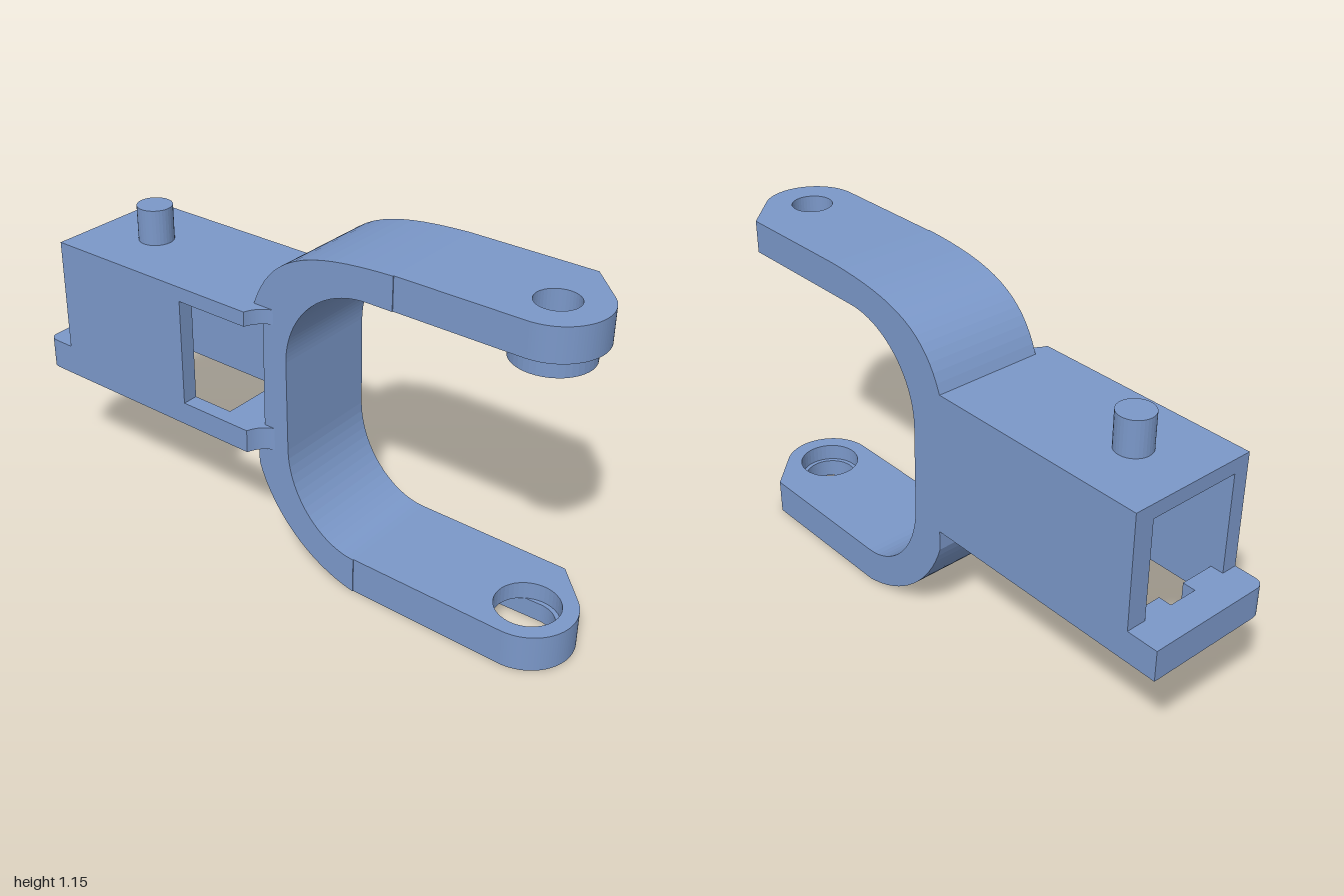
import * as THREE from 'three';

export function createModel() {
  const model = new THREE.Group();
  const material = new THREE.MeshStandardMaterial({ color: 0x7b98c9, flatShading: true });

  const add = (name, geometry) => {
    const mesh = new THREE.Mesh(geometry, material);
    mesh.name = name;
    model.add(mesh);
  };
  const block = (name, x0, x1, y0, y1, z0, z1) => add(name,
    new THREE.BoxGeometry(x1 - x0, y1 - y0, z1 - z0)
      .translate((x0 + x1) / 2, (y0 + y1) / 2, (z0 + z1) / 2));
  // Extrude a plan drawn in (x, z) between two heights
  const plate = (name, shape, y0, y1) => add(name,
    new THREE.ExtrudeGeometry(shape, { depth: y1 - y0, bevelEnabled: false, curveSegments: 20 })
      .rotateX(Math.PI / 2).translate(0, y1, 0));
  const circle = (x, z, r) => new THREE.Path().absarc(x, z, r, 0, Math.PI * 2, false);

  const back = -0.225, front = 0.225, yokeFront = 0.16;
  const pinX = 0.845, armStart = 0.3, topStart = 0.42;

  // Curved web of the yoke, drawn from the front
  const web = new THREE.Shape();
  web.moveTo(armStart, 0);
  web.bezierCurveTo(0.12, 0.03, -0.03, 0.17, -0.085, 0.34);
  web.lineTo(-0.085, 0.41);
  web.lineTo(-0.06, 0.42);
  web.lineTo(-0.06, 0.9);
  web.lineTo(-0.095, 0.91);
  web.bezierCurveTo(-0.03, 1.09, 0.1, 1.145, topStart, 1.155);
  web.lineTo(topStart, 1.045);
  web.lineTo(0.33, 1.045);
  web.absarc(0.33, 0.745, 0.3, Math.PI / 2, Math.PI, false);
  web.lineTo(0.035, 0.43);
  web.bezierCurveTo(0.04, 0.26, 0.17, 0.125, armStart, 0.125);
  web.closePath();
  add('yokeWeb', new THREE.ExtrudeGeometry(web,
    { depth: yokeFront - back, bevelEnabled: false, curveSegments: 16 }).translate(0, 0, back));

  // Arms with a rounded, chamfered tip
  const armPlan = (start, hole) => {
    const s = new THREE.Shape();
    s.moveTo(start, back);
    s.lineTo(pinX, back);
    s.lineTo(0.955, -0.112);
    s.absarc(pinX, 0, 0.157, -0.79, Math.PI / 2, false);
    s.lineTo(start, 0.157);
    s.closePath();
    s.holes.push(hole);
    return s;
  };
  plate('upperArm', armPlan(topStart, circle(pinX, 0, 0.068)), 1.045, 1.155);
  plate('lowerArm', armPlan(armStart, circle(pinX, 0, 0.105)), 0.065, 0.125);

  // Slot recessed into the underside of the lower arm
  const slot = new THREE.Path();
  slot.absarc(pinX, 0, 0.09, -Math.PI / 2, Math.PI / 2, false);
  slot.absarc(0.385, 0, 0.07, Math.PI / 2, Math.PI * 1.5, false);
  slot.closePath();
  plate('lowerArmSlot', armPlan(armStart, slot), 0, 0.065);

  // Collar under the upper arm
  const collar = new THREE.Shape().absarc(pinX, 0, 0.125, 0, Math.PI * 2, false);
  collar.holes.push(circle(pinX, 0, 0.068));
  plate('collar', collar, 0.985, 1.045);

  // Hollow housing, open at the bottom and the outer end
  block('housingTop', -0.89, -0.05, 0.86, 0.91, back, 0.17);
  block('housingBack', -0.89, -0.05, 0.41, 0.86, back, -0.155);
  block('housingFront', -0.89, -0.35, 0.41, 0.91, 0.17, front);
  block('housingFloor', -0.2, -0.05, 0.41, 0.49, -0.155, 0.17);

  // Strips above and below the front window, with a concave inner end
  const strip = new THREE.Shape();
  strip.moveTo(-0.35, 0.17);
  strip.lineTo(-0.1, 0.17);
  strip.lineTo(-0.1, 0.155);
  strip.lineTo(0, 0.155);
  strip.quadraticCurveTo(-0.06, 0.165, -0.08, front);
  strip.lineTo(-0.35, front);
  strip.closePath();
  plate('windowTopStrip', strip, 0.86, 0.91);
  plate('windowBottomStrip', strip, 0.41, 0.49);

  // End foot with a rounded front corner and a notch on its inner edge
  const foot = new THREE.Shape();
  foot.moveTo(-1, back);
  foot.lineTo(-0.845, back);
  foot.lineTo(-0.845, -0.05);
  foot.lineTo(-0.89, -0.05);
  foot.lineTo(-0.89, 0.05);
  foot.lineTo(-0.845, 0.05);
  foot.lineTo(-0.845, front);
  foot.lineTo(-0.96, front);
  foot.quadraticCurveTo(-1, front, -1, 0.185);
  foot.closePath();
  plate('endFoot', foot, 0.41, 0.517);

  // Locating pin on top of the housing
  add('topPin', new THREE.CylinderGeometry(0.06, 0.06, 0.13, 32).translate(-0.665, 0.967, 0));

  return model;
}
